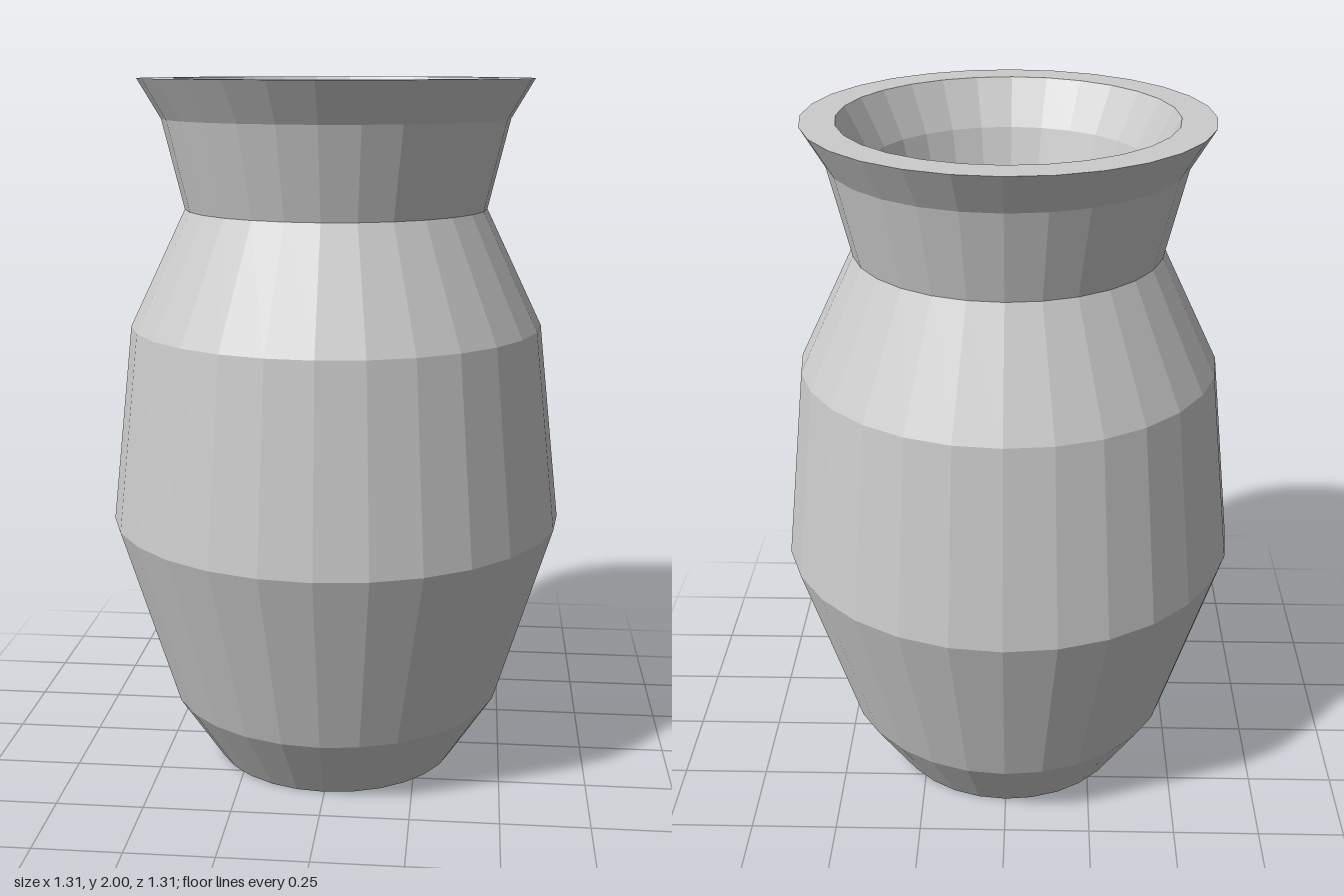
import * as THREE from 'three';

const SIDES = 28;

export function createModel() {
  const model = new THREE.Group();
  model.name = 'vase';

  // Closed wall profile [radius, height]: up the outside, over the rim, down the inside
  const outside = [[0, 0], [0.36, 0], [0.49, 0.2], [0.655, 0.74], [0.59, 1.31], [0.43, 1.64], [0.49, 1.89], [0.555, 2]];
  const inside = [[0.46, 2], [0.39, 1.87], [0.33, 1.64], [0.49, 1.28], [0.55, 0.75], [0.4, 0.24], [0.295, 0.08], [0, 0.08]];
  const profile = [...outside, ...inside].map(([r, y]) => new THREE.Vector2(r, y));

  // Faceted vase body with hollow interior
  const body = new THREE.Mesh(
    new THREE.LatheGeometry(profile, SIDES),
    new THREE.MeshStandardMaterial({ color: 0xcccccc, flatShading: true })
  );
  body.name = 'vaseBody';
  model.add(body);

  return model;
}
